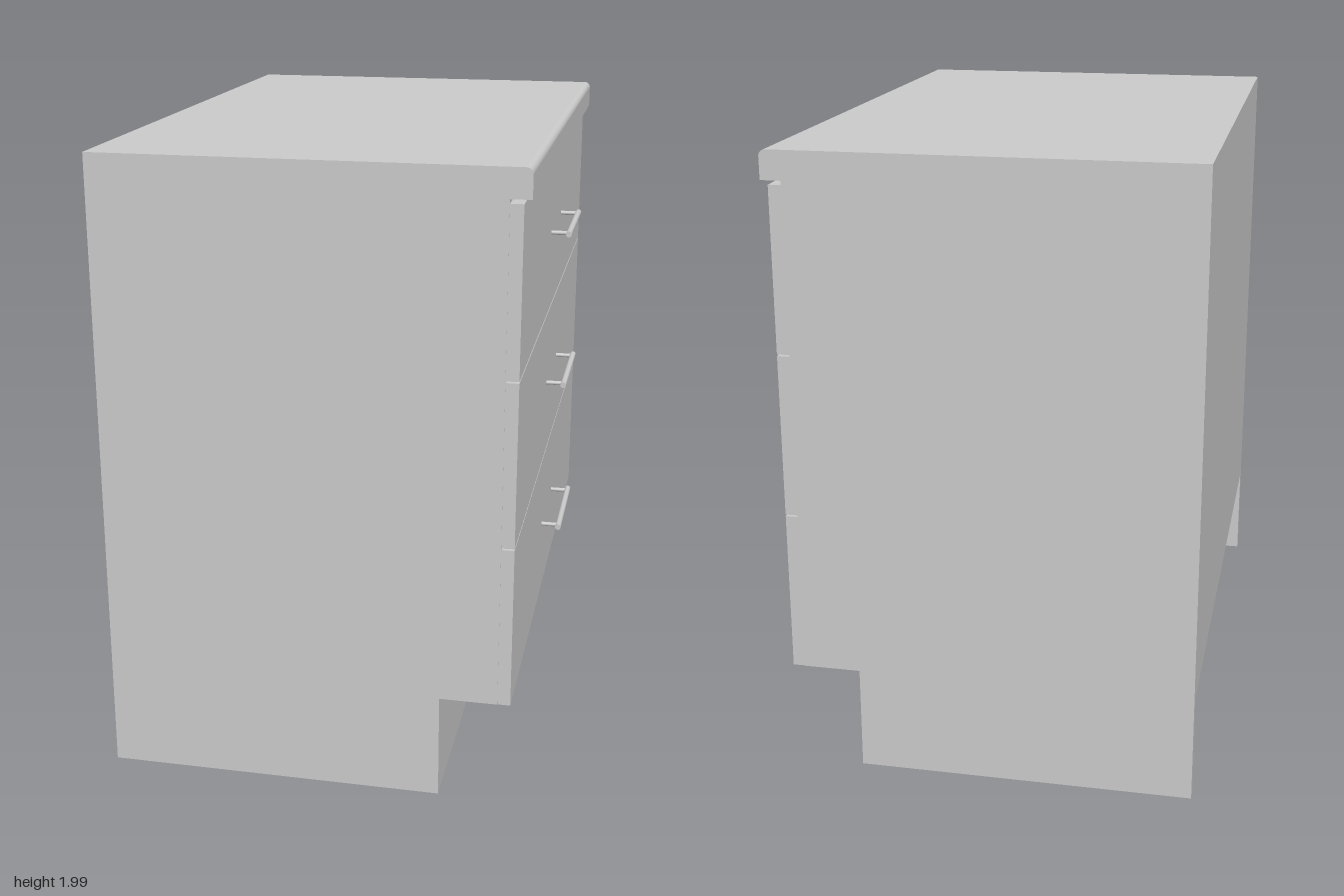
import * as THREE from 'three';

const grey = new THREE.MeshStandardMaterial({ color: 0xcccccc });
const black = new THREE.MeshStandardMaterial({ color: 0x333333 });

export function createModel() {
  const cabinet = new THREE.Group();
  cabinet.name = 'drawerCabinet';

  const add = (name, geometry, x, y, z, parent = cabinet, material = grey) => {
    const mesh = new THREE.Mesh(geometry, material);
    mesh.name = name;
    mesh.position.set(x, y, z);
    parent.add(mesh);
    return mesh;
  };

  // Box given by its limits on each axis
  const panel = (name, [x0, x1], [y0, y1], [z0, z1], parent) =>
    add(name, new THREE.BoxGeometry(x1 - x0, y1 - y0, z1 - z0),
      (x0 + x1) / 2, (y0 + y1) / 2, (z0 + z1) / 2, parent);

  // Profile in the x-y plane, extruded along z and centred on it
  const extrude = (shape, depth) =>
    new THREE.ExtrudeGeometry(shape, { depth, bevelEnabled: false, curveSegments: 6 })
      .translate(0, 0, -depth / 2);

  const back = -0.68, carcassFront = 0.565, frontFace = 0.605, kick = 0.385;
  const floorY = 0.335, topY = 1.9, height = 1.99, t = 0.035;

  // Side panels with the toe-kick notch
  const side = new THREE.Shape();
  side.moveTo(back, 0);
  side.lineTo(kick, 0);
  side.lineTo(kick, floorY);
  side.lineTo(carcassFront, floorY);
  side.lineTo(carcassFront, topY);
  side.lineTo(back, topY);
  side.closePath();
  for (const s of [-1, 1]) add(s > 0 ? 'sidePanelA' : 'sidePanelB', extrude(side, t), 0, 0, s * (1 - t / 2));

  // Rest of the carcass
  const inner = [-1 + t, 1 - t];
  panel('bottomPanel', [back, carcassFront], [floorY, floorY + t], inner);
  panel('backPanel', [back, back + 0.02], [floorY + t, topY], inner);
  panel('plinth', [kick - t, kick], [0, floorY], inner);
  panel('topRail', [carcassFront - 0.1, carcassFront], [topY - t, topY], inner);

  // Worktop with a softened upper front edge
  const r = 0.02, nose = 0.628;
  const top = new THREE.Shape();
  top.moveTo(back, topY);
  top.lineTo(nose, topY);
  top.lineTo(nose, height - r);
  top.absarc(nose - r, height - r, r, 0, Math.PI / 2);
  top.lineTo(back, height);
  top.closePath();
  add('worktop', extrude(top, 2), 0, 0, 0);

  // Drawers: front panel and bar handle on two posts
  const pitch = 0.519;
  for (let i = 0; i < 3; i++) {
    const drawer = new THREE.Group();
    drawer.name = 'drawer' + (i + 1);
    cabinet.add(drawer);
    const y0 = floorY + i * pitch;
    panel('drawerFront', [carcassFront, frontFace], [y0, y0 + pitch - 0.005], [-0.998, 0.998], drawer);

    const handleY = y0 + 0.261;
    add('handleBar', new THREE.CylinderGeometry(0.01, 0.01, 0.38, 16).rotateX(Math.PI / 2),
      0.664, handleY, 0, drawer);
    for (const s of [-1, 1]) {
      add('handlePost', new THREE.CylinderGeometry(0.007, 0.007, 0.06, 12).rotateZ(Math.PI / 2),
        0.634, handleY, s * 0.168, drawer);
    }
  }

  // Adjustable legs
  for (const x of [-0.55, 0.21]) {
    for (const z of [-0.845, 0.845]) {
      const leg = new THREE.Group();
      leg.name = 'leg';
      leg.position.set(x, 0, z);
      cabinet.add(leg);
      add('legShaft', new THREE.CylinderGeometry(0.056, 0.056, floorY - 0.03, 24), 0, (floorY + 0.03) / 2, 0, leg, black);
      add('legFoot', new THREE.CylinderGeometry(0.061, 0.061, 0.03, 24), 0, 0.015, 0, leg, black);
    }
  }

  return cabinet;
}
